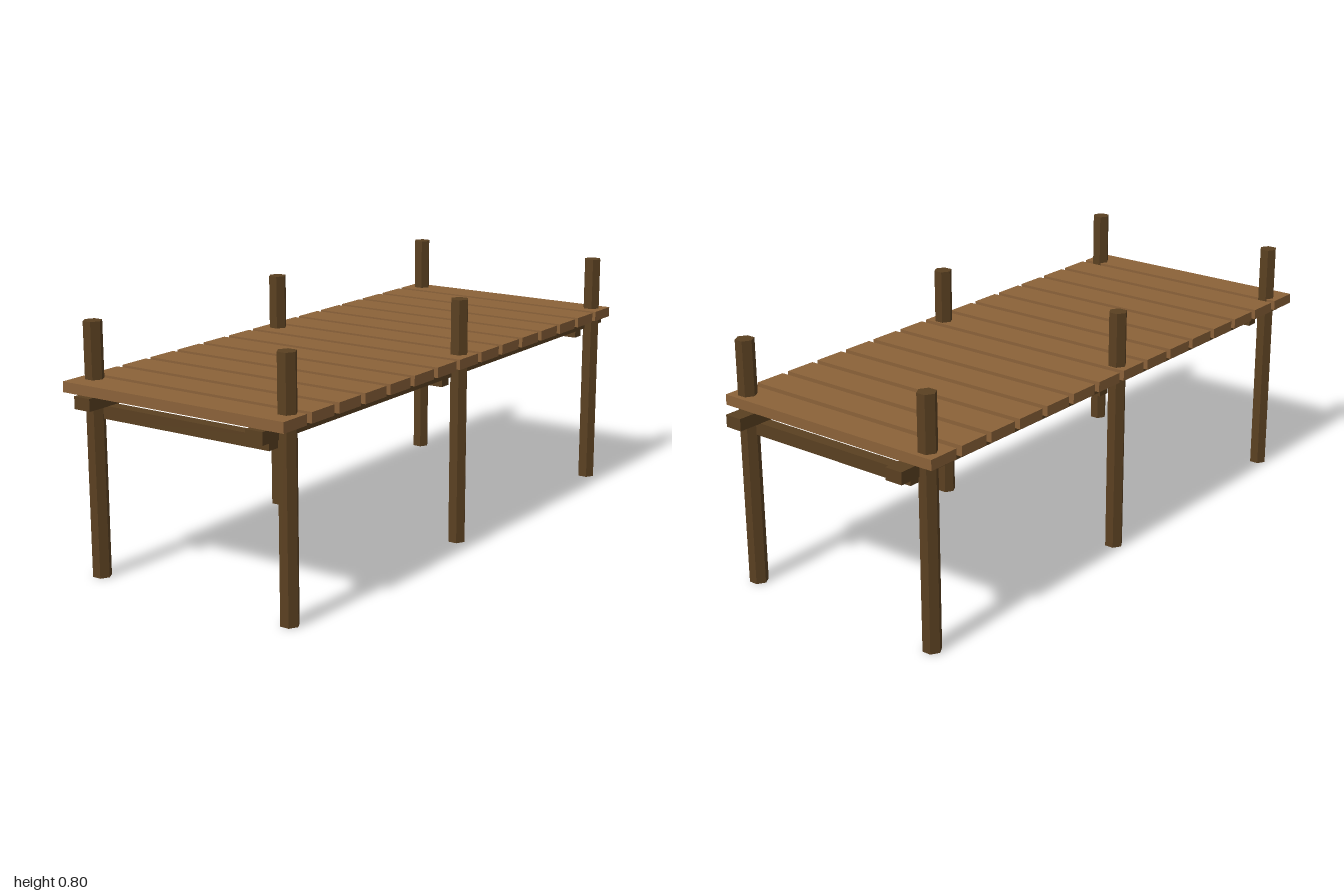
import * as THREE from 'three';

export function createModel() {
  const model = new THREE.Group();
  model.name = 'dock';

  const plankWood = new THREE.MeshStandardMaterial({ color: 0x8b6239, flatShading: true });
  plankWood.name = 'plank wood';
  const darkWood = new THREE.MeshStandardMaterial({ color: 0x5a4021, flatShading: true });
  darkWood.name = 'dark wood';

  const add = (name, geometry, material, x, y, z) => {
    const mesh = new THREE.Mesh(geometry, material);
    mesh.name = name;
    mesh.position.set(x, y, z);
    model.add(mesh);
  };

  // Deck planks, evenly spaced with narrow gaps
  const plank = new THREE.BoxGeometry(0.82, 0.033, 0.107);
  for (let i = 0; i < 15; i++) add('plank', plank, plankWood, 0, 0.607, -0.89 + i * 0.13);

  // Long stringers under the deck
  const stringer = new THREE.BoxGeometry(0.06, 0.039, 2);
  for (const side of [-1, 1]) add('stringer', stringer, darkWood, side * 0.32, 0.5705, 0);

  // Hexagonal posts in three pairs, each pair joined by a cross beam
  const post = new THREE.CylinderGeometry(0.03, 0.03, 0.8, 6, 1, false, Math.PI / 2);
  const beam = new THREE.BoxGeometry(0.62, 0.041, 0.04);
  for (const z of [-0.9, 0, 0.9]) {
    for (const side of [-1, 1]) add('post', post, darkWood, side * 0.36, 0.4, z);
    add('crossBeam', beam, darkWood, 0, 0.531, z);
  }

  return model;
}
